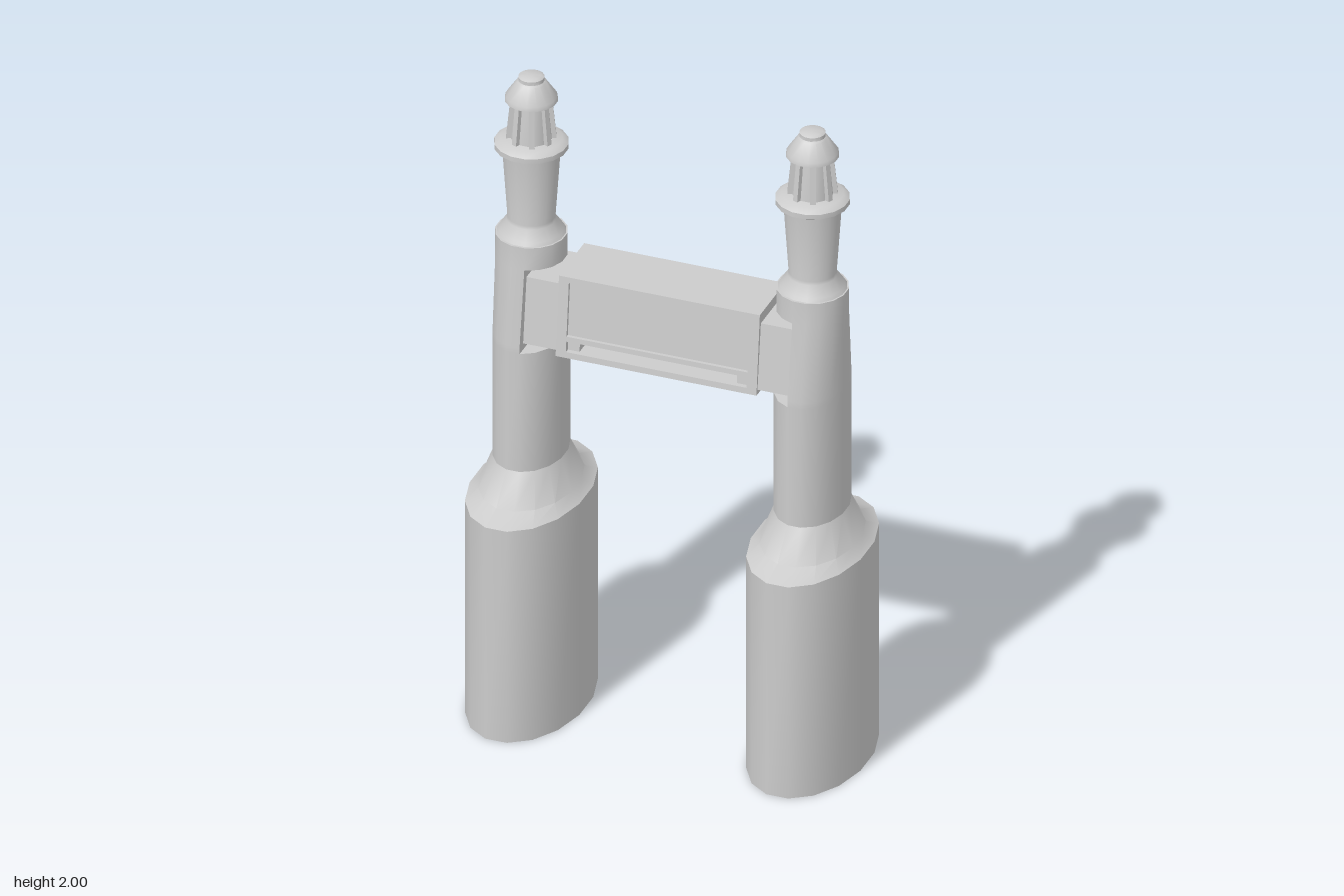
import * as THREE from 'three';
import { toCreasedNormals } from 'three/addons/utils/BufferGeometryUtils.js';

const SIDES = 16;
const material = new THREE.MeshStandardMaterial({ color: 0xcccccc });

function addMesh(parent, name, geometry) {
  const mesh = new THREE.Mesh(geometry, material);
  mesh.name = name;
  parent.add(mesh);
  return mesh;
}

// Loft through elliptical rings [y, rx, rz, minX]; minX cuts the ring off flat
function loft(rings) {
  const pos = [], index = [];
  for (const [y, rx, rz, minX = -1] of rings) {
    for (let i = 0; i < SIDES; i++) {
      const a = ((i + 0.5) / SIDES) * Math.PI * 2;
      pos.push(Math.max(minX, rx * Math.cos(a)), y, rz * Math.sin(a));
    }
  }
  for (let r = 0; r < rings.length - 1; r++) {
    for (let i = 0; i < SIDES; i++) {
      const j = (i + 1) % SIDES;
      const a = r * SIDES + i, b = r * SIDES + j;
      const c = a + SIDES, d = b + SIDES;
      index.push(a, c, b, b, c, d);
    }
  }
  const g = new THREE.BufferGeometry();
  g.setAttribute('position', new THREE.Float32BufferAttribute(pos, 3));
  g.setIndex(index);
  return toCreasedNormals(g, 0.68);
}

const round = (profile) => loft(profile.map(([y, r]) => [y, r, r]));

// Prism along x with a trapezoid section: half depth z0 at y0, z1 at y1
function prism(x0, x1, y0, y1, z0, z1) {
  const s = new THREE.Shape();
  s.moveTo(-z0, y0);
  s.lineTo(z0, y0);
  s.lineTo(z1, y1);
  s.lineTo(-z1, y1);
  s.closePath();
  const g = new THREE.ExtrudeGeometry(s, { depth: x1 - x0, bevelEnabled: false });
  return g.rotateY(Math.PI / 2).translate(x0, 0, 0);
}

function createTower(name) {
  const tower = new THREE.Group();
  tower.name = name;

  // Oval pier with sloping shoulder
  addMesh(tower, 'pier', loft([
    [0, 0, 0], [0, 0.167, 0.275], [0.68, 0.167, 0.275],
    [0.705, 0.138, 0.203], [0.8, 0.102, 0.144], [0.8, 0, 0],
  ]));

  // Oval shaft, tapering upward, notched on its inner side for the bridge
  const cut = -0.02;
  addMesh(tower, 'shaft', loft([
    [0.8, 0.102, 0.144], [1.18, 0.102, 0.144], [1.18, 0.102, 0.144, cut],
    [1.2, 0.102, 0.144, cut], [1.43, 0.102, 0.107, cut],
    [1.43, 0.102, 0.107], [1.5, 0.102, 0.105], [1.5, 0, 0],
  ]));

  // Round turret with flared foot
  addMesh(tower, 'turret', round([
    [1.5, 0.098], [1.51, 0.092], [1.54, 0.07], [1.55, 0.068], [1.77, 0.083], [1.77, 0],
  ]));
  addMesh(tower, 'balcony', round([
    [1.763, 0], [1.763, 0.09], [1.772, 0.105], [1.787, 0.105], [1.8, 0.088], [1.8, 0],
  ]));

  // Lantern: core, eight leaning posts, stepped cap
  addMesh(tower, 'lanternCore', round([[1.795, 0.058], [1.93, 0.046]]));
  const posts = new THREE.Group();
  posts.name = 'lanternPosts';
  tower.add(posts);
  for (let i = 0; i < 8; i++) {
    const pivot = new THREE.Group();
    pivot.name = 'lanternPost';
    pivot.rotation.y = ((i + 0.5) / 8) * Math.PI * 2;
    const post = addMesh(pivot, 'post', new THREE.BoxGeometry(0.014, 0.135, 0.016));
    post.position.set(0.057, 1.862, 0);
    post.rotation.z = 0.1;
    posts.add(pivot);
  }
  addMesh(tower, 'lanternCap', round([
    [1.915, 0], [1.915, 0.062], [1.922, 0.075], [1.935, 0.073],
    [1.98, 0.042], [1.984, 0.037], [1.995, 0.037], [2, 0.028], [2, 0],
  ]));
  return tower;
}

function createBridge() {
  const bridge = new THREE.Group();
  bridge.name = 'bridge';
  // Half depth of the sloping outer walls at a given height
  const wall = (y) => 0.122 - ((y - 1.185) / 0.245) * 0.026;
  const slab = (name, x0, x1, y0, y1, inset = 0) =>
    addMesh(bridge, name, prism(x0, x1, y0, y1, wall(y0) - inset, wall(y1) - inset));

  slab('cabin', -0.27, 0.27, 1.24, 1.42, 0.01);
  slab('roof', -0.27, 0.27, 1.413, 1.43);
  slab('sill', -0.27, 0.27, 1.235, 1.25);
  slab('floorPlate', -0.27, 0.27, 1.185, 1.203);
  for (const s of [-1, 1]) {
    const span = (a, b) => (s > 0 ? [a, b] : [-b, -a]);
    slab('endFrame', ...span(0.27, 0.3), 1.185, 1.43);
    slab('floorSupport', ...span(0.235, 0.27), 1.2, 1.24, 0.015);
    // Connector reaching into the tower notch
    addMesh(bridge, 'connector', prism(...span(0.3, 0.4), 1.2, 1.4, 0.114, 0.088));
  }
  return bridge;
}

export function createModel() {
  const model = new THREE.Group();
  model.name = 'twinTowerBridge';
  const left = createTower('leftTower');
  left.position.x = 0.42;
  const right = createTower('rightTower');
  right.position.x = -0.42;
  right.rotation.y = Math.PI;
  model.add(left, right, createBridge());
  return model;
}
